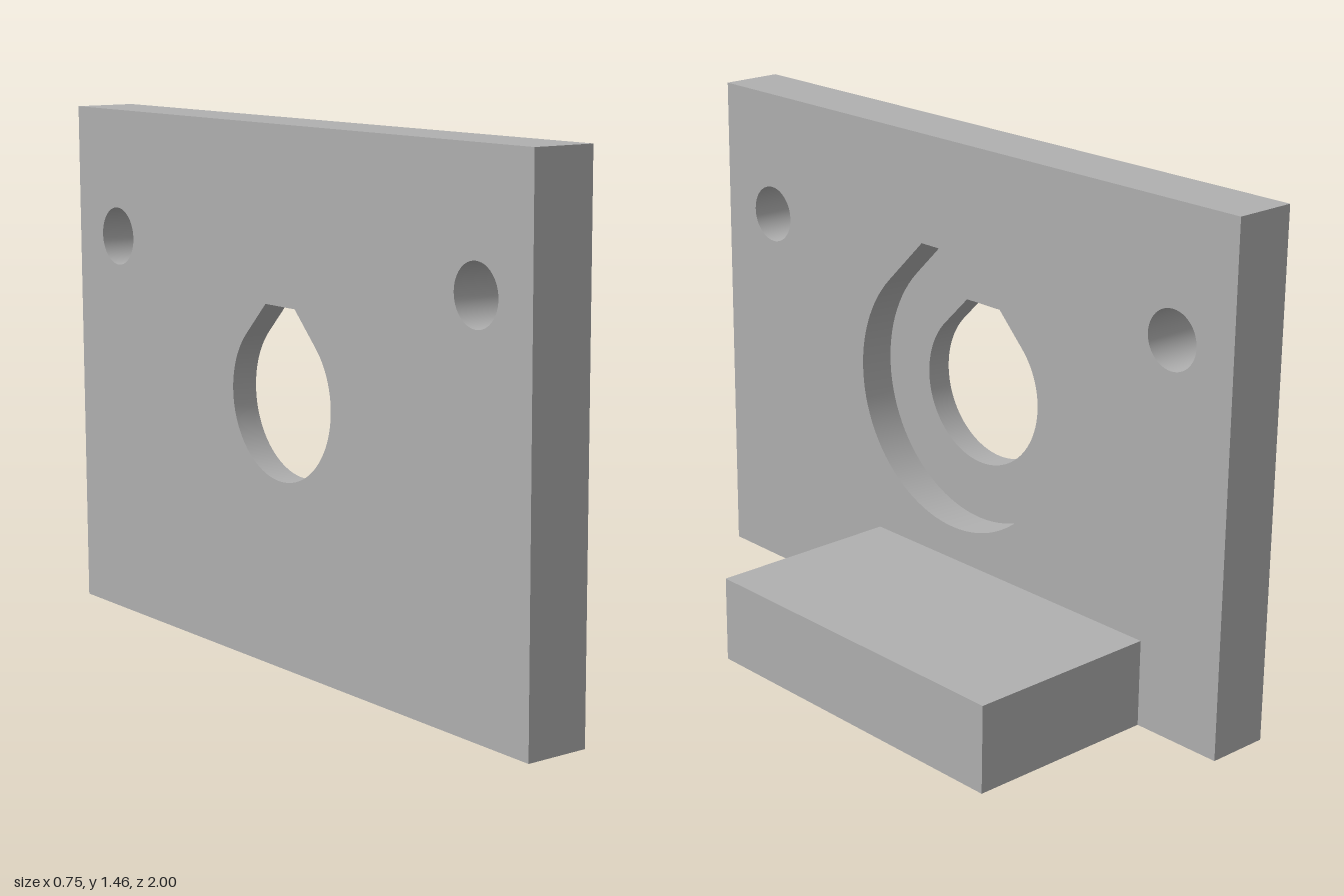
import * as THREE from 'three';
import { mergeGeometries, toCreasedNormals } from 'three/addons/utils/BufferGeometryUtils.js';

const BACK = -0.375, FLOOR = -0.3, FACE = -0.195, TIP = 0.375; // x planes
const HEIGHT = 1.455, BORE_Y = 0.733;
const LEDGE = { u0: -0.317, u1: 0.728, h: 0.246 }; // u = -z

// Counter-clockwise contours in (u, y)
const poly = (...pts) => pts.map(([u, y]) => new THREE.Vector2(u, y));

function arc(cu, cy, r, start, end, n) {
  const pts = [];
  for (let i = 0; i <= n; i++) {
    const a = start + (end - start) * i / n;
    pts.push(new THREE.Vector2(cu + r * Math.cos(a), cy + r * Math.sin(a)));
  }
  return pts;
}

const circle = (u, y, r) => arc(u, y, r, 0, Math.PI * 2 * 47 / 48, 47);

// Round below, 45 degree tangents above, cut off flat
function teardrop(r, top) {
  const half = r * Math.SQRT2 - top;
  return [
    ...poly([half, BORE_Y + top], [-half, BORE_Y + top]),
    ...arc(0, BORE_Y, r, Math.PI * 0.75, Math.PI * 2.25, 72),
  ];
}

// Flat face at plane x, facing +x or -x (back outlines are symmetric in u)
function cap(contour, holes, x, facing = 1) {
  const shape = new THREE.Shape(contour);
  shape.holes = holes.map((h) => new THREE.Path(h));
  const g = new THREE.ShapeGeometry(shape).toNonIndexed();
  g.deleteAttribute('uv');
  return g.rotateY(facing * Math.PI / 2).translate(x, 0, 0);
}

// Side walls swept along x; inward for holes
function wall(contour, x0, x1, inward = false) {
  const pts = inward ? [...contour].reverse() : contour;
  const pos = [];
  pts.forEach((a, i) => {
    const b = pts[(i + 1) % pts.length];
    const A = [x0, a.y, -a.x], B = [x0, b.y, -b.x];
    const C = [x1, b.y, -b.x], D = [x1, a.y, -a.x];
    pos.push(...A, ...B, ...C, ...A, ...C, ...D);
  });
  const g = new THREE.BufferGeometry();
  g.setAttribute('position', new THREE.Float32BufferAttribute(pos, 3));
  g.computeVertexNormals();
  return g;
}

export function createModel() {
  const group = new THREE.Group();
  const grey = new THREE.MeshStandardMaterial({ color: 0xb0b0b0 });
  grey.name = 'plain grey';

  const add = (name, ...parts) => {
    const mesh = new THREE.Mesh(toCreasedNormals(mergeGeometries(parts), 0.4), grey);
    mesh.name = name;
    group.add(mesh);
  };

  const { u0, u1, h } = LEDGE;
  const outline = poly([-1, 0], [1, 0], [1, HEIGHT], [-1, HEIGHT]);
  // Front outline steps around the ledge
  const frontOutline = poly([-1, 0], [u0, 0], [u0, h], [u1, h], [u1, 0], [1, 0], [1, HEIGHT], [-1, HEIGHT]);
  const bore = teardrop(0.221, 0.247);
  const recess = teardrop(0.39, 0.413);
  const screwHoles = [-1, 1].map((s) => circle(s * 0.796, 1.095, 0.082));

  // Upright plate with two screw holes
  add('uprightPlate',
    wall(outline, BACK, FACE),
    cap(outline, [bore, ...screwHoles], BACK, -1),
    cap(frontOutline, [recess, ...screwHoles], FACE),
    ...screwHoles.map((c) => wall(c, BACK, FACE, true)));

  // Stepped bore: wide recess, its floor and the through hole
  add('steppedBore',
    wall(recess, FLOOR, FACE, true),
    cap(recess, [bore], FLOOR),
    wall(bore, BACK, FLOOR, true));

  // Ledge at the foot of the plate
  const foot = poly([u0, 0], [u1, 0], [u1, h], [u0, h]);
  add('ledge', wall(foot, FACE, TIP), cap(foot, [], TIP));

  return group;
}
